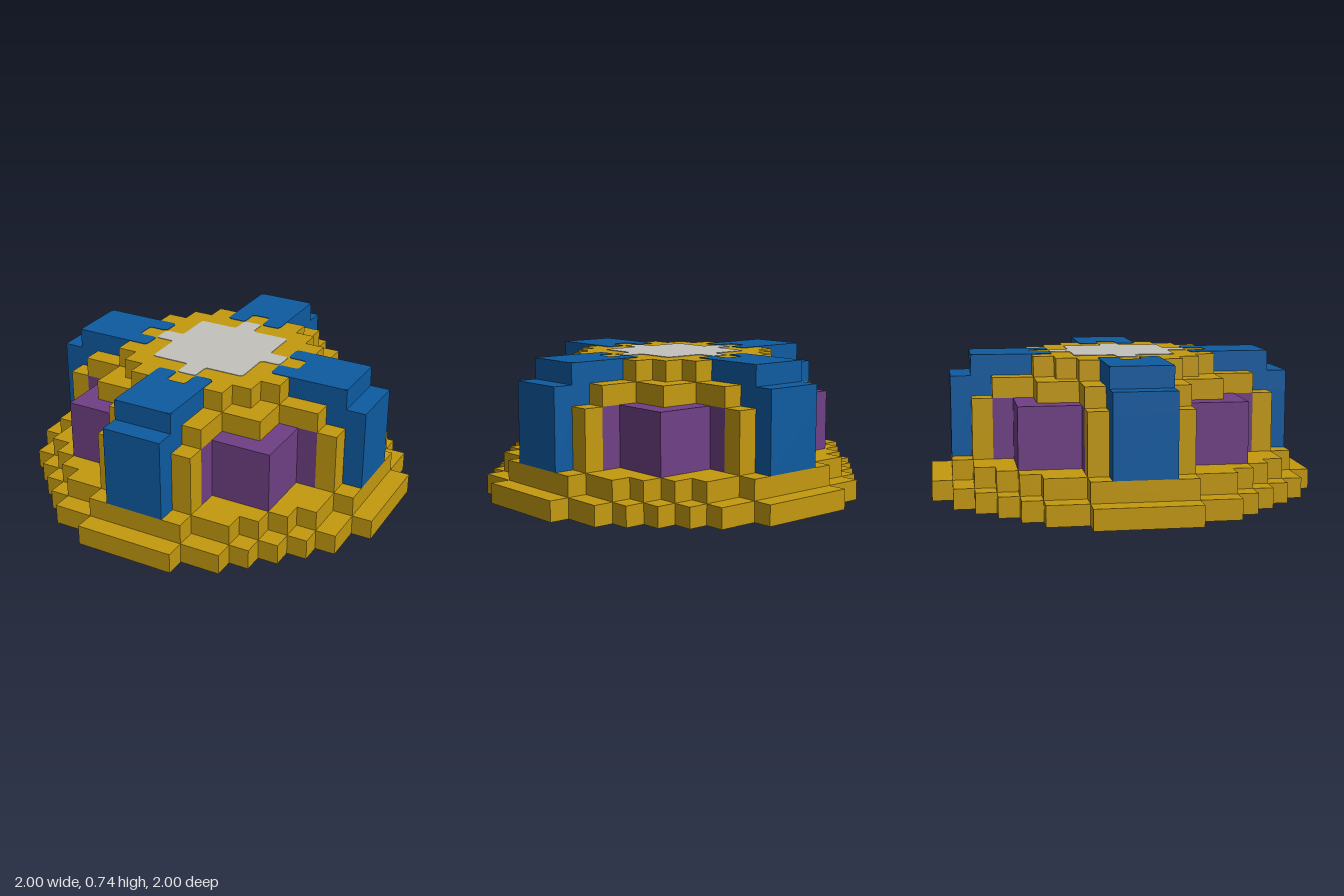
import * as THREE from 'three';

const U = 2 / 19; // one block

const mat = (name, color) => {
  const m = new THREE.MeshStandardMaterial({ color });
  m.name = name;
  return m;
};

// Four-way symmetric stepped outline from [halfX, halfZ] corners of one quadrant
function steppedShape(steps) {
  const quad = [];
  steps.forEach(([a, b], i) => {
    quad.push([a, b]);
    if (i < steps.length - 1) quad.push([steps[i + 1][0], b]);
  });
  const pts = [];
  for (let q = 0; q < 4; q++) {
    for (const [a, b] of quad) {
      const [x, y] = [[a, b], [-b, a], [-a, -b], [b, -a]][q];
      pts.push(new THREE.Vector2(x * U, y * U));
    }
  }
  return new THREE.Shape(pts);
}

// Outline with every corner softened by radius r
function softShape(points, r) {
  const p = points.map(([x, y]) => new THREE.Vector2(x * U, y * U));
  const s = new THREE.Shape();
  p.forEach((c, i) => {
    const toward = (o) => c.clone().add(o.clone().sub(c).setLength(r * U));
    const a = toward(p[(i + p.length - 1) % p.length]);
    const b = toward(p[(i + 1) % p.length]);
    if (i === 0) s.moveTo(a.x, a.y);
    else s.lineTo(a.x, a.y);
    s.quadraticCurveTo(c.x, c.y, b.x, b.y);
  });
  s.closePath();
  return s;
}

// Lay a shape flat between two heights
function slab(name, shape, y0, height, material) {
  const g = new THREE.ExtrudeGeometry(shape, { depth: height, bevelEnabled: false, curveSegments: 4 });
  g.rotateX(-Math.PI / 2);
  const m = new THREE.Mesh(g, material);
  m.name = name;
  m.position.y = y0;
  return m;
}

// Block spanning the given ranges, in block units
function block(name, halfX, y0, y1, z0, z1, material) {
  const m = new THREE.Mesh(new THREE.BoxGeometry(2 * halfX * U, (y1 - y0) * U, (z1 - z0) * U), material);
  m.position.set(0, ((y0 + y1) / 2) * U, ((z0 + z1) / 2) * U);
  m.name = name;
  return m;
}

export function createModel() {
  const gold = mat('gold', 0xc4990f);
  const blue = mat('blue', 0x0e5ba1);
  const purple = mat('purple', 0x6f4085);
  const grey = mat('light grey', 0xc2c1bc);
  const model = new THREE.Group();
  model.name = 'steppedDome';

  // Stacked round layers
  const layers = [
    ['baseDisc', 0, 1, gold, [[9.5, 2.5], [8.5, 4.5], [7.5, 5.5], [6.5, 6.5], [5.5, 7.5], [4.5, 8.5], [2.5, 9.5]]],
    ['upperDisc', 1, 2, gold, [[8.5, 2.5], [7.5, 4.5], [6.5, 5.5], [5.5, 6.5], [4.5, 7.5], [2.5, 8.5]]],
    ['body', 2, 5, purple, [[6.5, 2.5], [5.5, 5.5], [2.5, 6.5]]],
    ['shoulder', 5, 6, gold, [[6.5, 2.5], [4.5, 4.5], [2.5, 6.5]]],
    ['crown', 6, 7, gold, [[4.5, 2.5], [3.5, 3.5], [2.5, 4.5]]],
  ];
  for (const [name, y0, y1, material, steps] of layers) {
    model.add(slab(name, steppedShape(steps), y0 * U, (y1 - y0) * U, material));
  }

  // Four buttresses with blue ribs and forked blue tops
  const fork = softShape([
    [1.5, 3.5], [1.5, 7.5], [-1.5, 7.5], [-1.5, 3.5],
    [-0.5, 3.5], [-0.5, 4.5], [0.5, 4.5], [0.5, 3.5],
  ], 0.22);
  for (let i = 0; i < 4; i++) {
    const arm = new THREE.Group();
    arm.name = 'buttress';
    arm.add(
      block('pier', 2.5, 2, 5, 6.5, 7.5, gold),
      block('rib', 1.5, 2, 5, 7.5, 8.5, blue),
      block('ribShoulder', 1.5, 5, 6, 6.5, 8.5, blue),
      block('ribTop', 1.5, 6, 7, 4.5, 7.5, blue),
    );
    const inlay = slab('forkInlay', fork, 7 * U, 0.003, blue);
    inlay.rotation.y = Math.PI;
    arm.add(inlay);
    arm.rotation.y = (i * Math.PI) / 2;
    model.add(arm);
  }

  // Pale cross-shaped plate in the middle of the crown
  const cross = [];
  const tab = [[2.5, -0.5], [3.5, -0.5], [3.5, 0.5], [2.5, 0.5], [2.5, 2.5]];
  for (let q = 0; q < 4; q++) {
    for (const [a, b] of tab) cross.push([[a, b], [-b, a], [-a, -b], [b, -a]][q]);
  }
  model.add(slab('centrePlate', softShape(cross, 0.2), 7 * U, 0.003, grey));

  return model;
}
